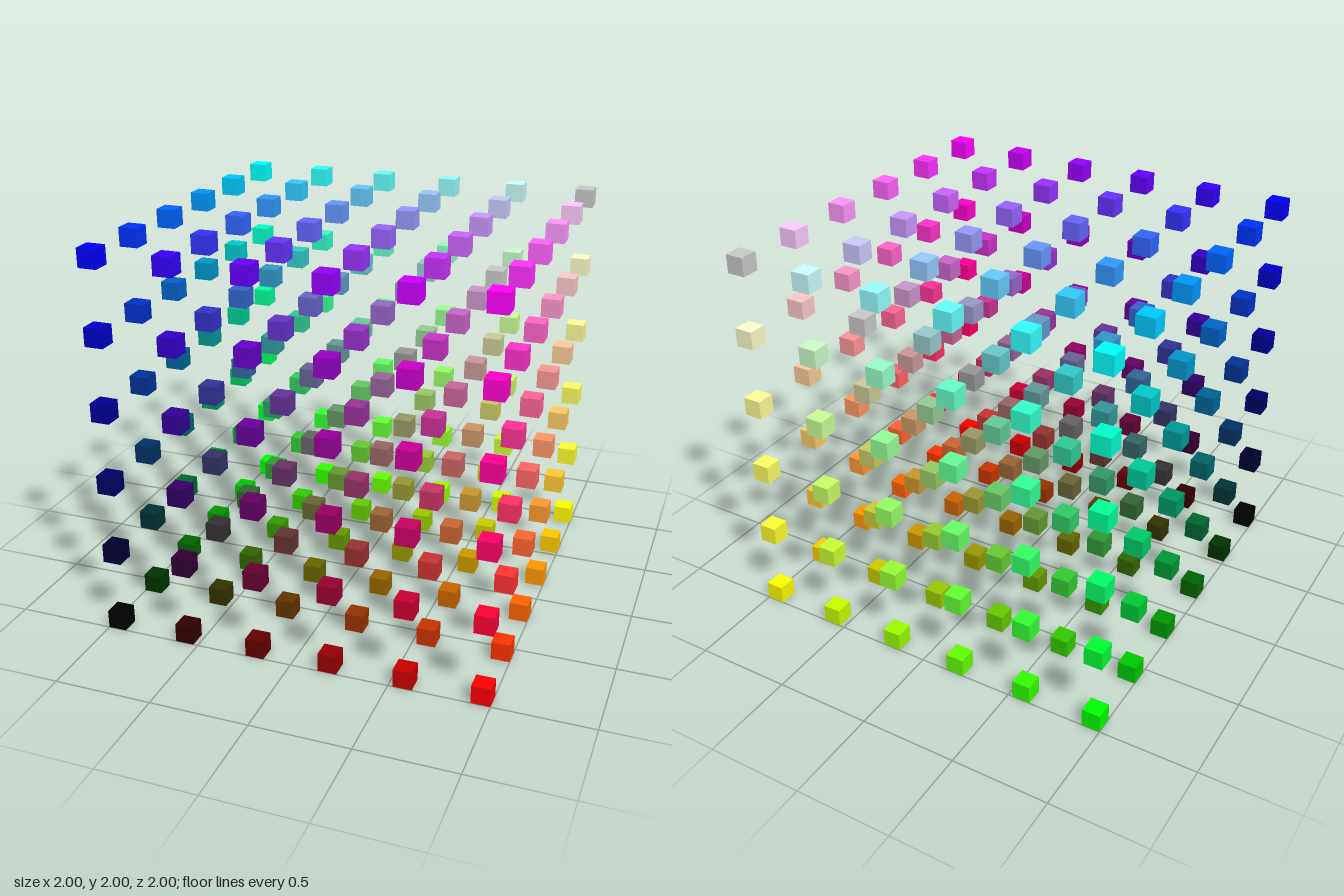
import * as THREE from 'three';

const COUNT = 6;                    // cubes along each axis
const SIZE = 2 / 21;                // edge of one cube
const STEP = SIZE * 4;              // distance between cube centres

export function createModel() {
  const model = new THREE.Group();
  model.name = 'colourCubeLattice';
  const box = new THREE.BoxGeometry(SIZE, SIZE, SIZE);
  const half = (COUNT - 1) / 2;
  const last = COUNT - 1;

  for (let j = 0; j < COUNT; j++) {
    const layer = new THREE.Group();
    layer.name = `layer${j + 1}`;
    layer.position.y = SIZE / 2 + j * STEP;
    for (let i = 0; i < COUNT; i++) {
      for (let k = 0; k < COUNT; k++) {
        // red grows to +x, green to the back, blue upwards; the full corner is plain grey
        const material = new THREE.MeshStandardMaterial({ color: 0xcccccc });
        if (i + j + k < 3 * last) {
          material.color.setRGB(i / last, k / last, j / last, THREE.SRGBColorSpace);
        }
        const cube = new THREE.Mesh(box, material);
        cube.name = `cube_${i + 1}_${j + 1}_${k + 1}`;
        cube.position.set((i - half) * STEP, 0, (half - k) * STEP);
        layer.add(cube);
      }
    }
    model.add(layer);
  }
  return model;
}
